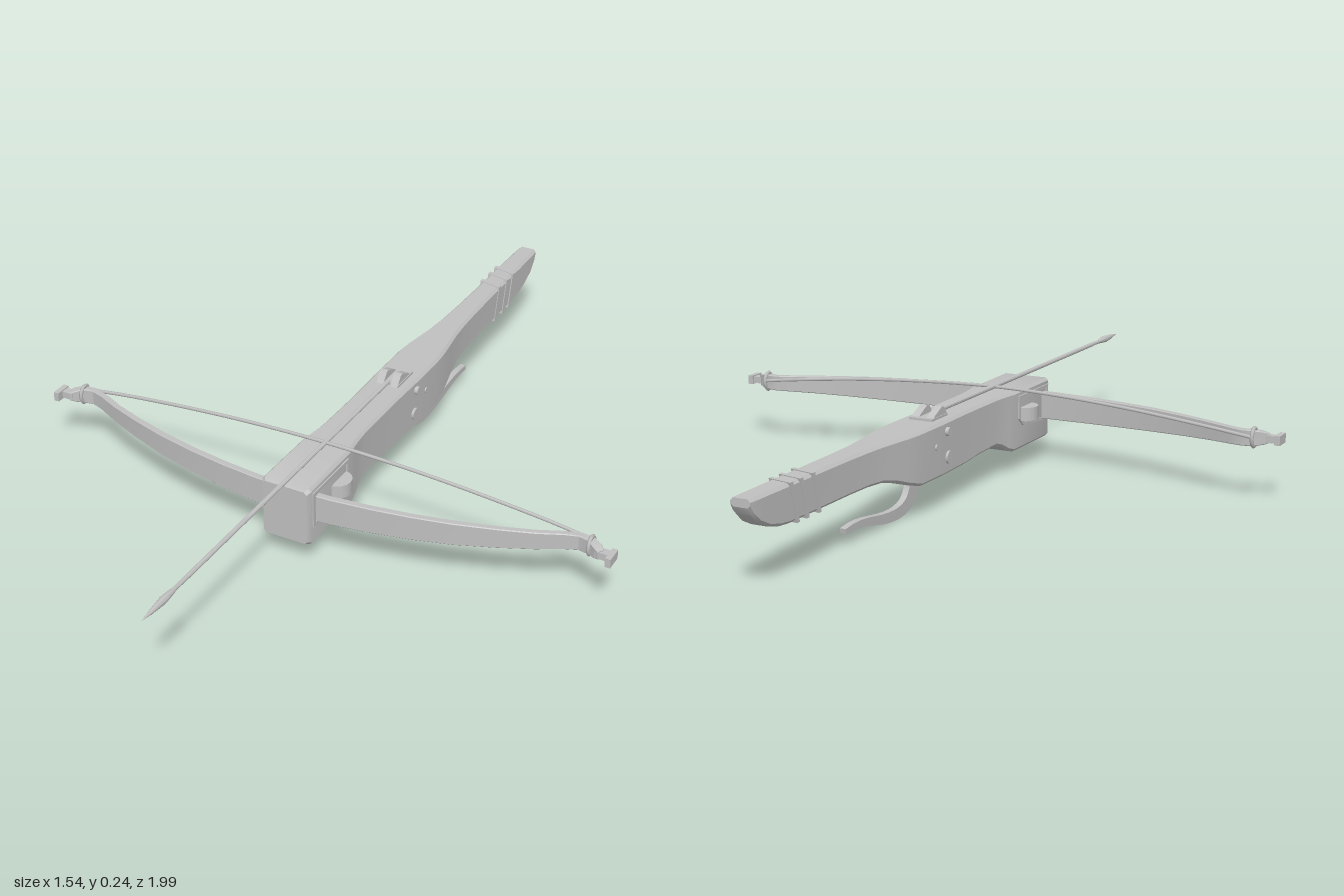
import * as THREE from 'three';
import { toCreasedNormals, mergeVertices } from 'three/addons/utils/BufferGeometryUtils.js';

const grey = new THREE.MeshStandardMaterial({ color: 0xc0c0c0 });
grey.name = 'grey';

// Sweeps a chamfered rectangle through sections [x, z, bottom, top, halfWidth, chamfer]
function loft(sections) {
  const pos = [], idx = [], n = 8;
  sections.forEach(([x, z, y0, y1, w, c], i) => {
    const a = sections[Math.max(0, i - 1)], b = sections[Math.min(sections.length - 1, i + 1)];
    const t = new THREE.Vector2(b[0] - a[0], b[1] - a[1]);
    if (t.length() < 1e-6) t.set(0, 1);
    t.normalize();
    const ring = [[w, y0 + c], [w, y1 - c], [w - c, y1], [c - w, y1], [-w, y1 - c], [-w, y0 + c], [c - w, y0], [w - c, y0]];
    for (const [u, y] of ring) pos.push(x + t.y * u, y, z - t.x * u);
  });
  for (let r = 0; r < sections.length - 1; r++) {
    for (let i = 0; i < n; i++) {
      const a = r * n + i, b = r * n + (i + 1) % n;
      idx.push(a, b, a + n, b, b + n, a + n);
    }
  }
  const e = (sections.length - 1) * n;
  for (let i = 1; i < n - 1; i++) idx.push(0, i + 1, i, e, e + i, e + i + 1);
  const g = new THREE.BufferGeometry();
  g.setAttribute('position', new THREE.Float32BufferAttribute(pos, 3));
  g.setIndex(idx);
  return toCreasedNormals(g, 0.5);
}

// Extrudes a side outline given as [z, y], centred on x
function sidePlate(shape, width) {
  const g = new THREE.ExtrudeGeometry(shape, { depth: width, bevelEnabled: false, curveSegments: 8 });
  g.translate(0, 0, -width / 2);
  g.rotateY(Math.PI / 2);
  return toCreasedNormals(g, 0.6);
}

export function createModel() {
  const model = new THREE.Group();
  model.name = 'crossbow';
  const add = (name, geometry, x = 0, y = 0, z = 0) => {
    const m = new THREE.Mesh(geometry, grey);
    m.name = name;
    m.position.set(x, y, z);
    model.add(m);
    return m;
  };

  // Stock: [z, bottom, half width], flat along the top
  const stock = [
    [-1.0, 0.195, 0.025], [-0.99, 0.178, 0.026], [-0.965, 0.155, 0.027], [-0.93, 0.138, 0.027], [-0.89, 0.128, 0.028],
    [-0.85, 0.124, 0.028], [-0.6, 0.125, 0.031], [-0.52, 0.125, 0.034], [-0.46, 0.122, 0.039], [-0.41, 0.11, 0.046],
    [-0.36, 0.093, 0.053], [-0.31, 0.08, 0.057], [-0.2, 0.079, 0.057], [-0.08, 0.08, 0.054], [0.0, 0.086, 0.054],
    [0.09, 0.089, 0.055], [0.12, 0.08, 0.057], [0.15, 0.064, 0.061], [0.175, 0.056, 0.065], [0.375, 0.056, 0.066], [0.387, 0.062, 0.06]
  ];
  add('stock', loft(stock.map(([z, y, w], i) => [0, z, y, i === 20 ? 0.21 : 0.215, w, 0.007])));

  // Slanted wrapping bands on the butt
  for (const z of [-0.74, -0.79, -0.83]) {
    const band = new THREE.BoxGeometry(0.063, 0.096, 0.012);
    const p = band.attributes.position;
    for (let i = 0; i < p.count; i++) p.setZ(i, p.getZ(i) - p.getY(i) * 0.25 + p.getX(i) * 0.2);
    band.computeVertexNormals();
    add('wrapBand', band, 0, 0.169, z);
  }

  // Bow limbs: half profile [x, z, bottom, top, half thickness], mirrored
  const half = [
    [0.1, 0.343, 0.112, 0.184, 0.009], [0.2, 0.332, 0.115, 0.184, 0.009], [0.3, 0.316, 0.119, 0.184, 0.009],
    [0.4, 0.294, 0.124, 0.184, 0.009], [0.5, 0.264, 0.13, 0.183, 0.008], [0.58, 0.235, 0.135, 0.182, 0.008],
    [0.64, 0.208, 0.139, 0.182, 0.008], [0.675, 0.196, 0.141, 0.182, 0.009], [0.705, 0.2, 0.142, 0.182, 0.011],
    [0.725, 0.213, 0.146, 0.178, 0.012], [0.738, 0.222, 0.15, 0.172, 0.009]
  ];
  const limb = half.map(s => [...s, 0.002]);
  add('bow', loft([...limb.map(([x, ...r]) => [-x, ...r]).reverse(), [0, 0.347, 0.11, 0.184, 0.009, 0.002], ...limb]));

  for (const s of [-1, 1]) {
    // Tip hooks and string loops
    add('bowTip', new THREE.BoxGeometry(0.04, 0.018, 0.022), s * 0.745, 0.16, 0.216);
    add('tipHook', new THREE.BoxGeometry(0.014, 0.024, 0.045), s * 0.764, 0.16, 0.222);
    const loop = new THREE.TorusGeometry(0.018, 0.005, 6, 16);
    loop.rotateY(Math.PI / 2);
    loop.scale(1, 1.25, 1);
    add('stringLoop', loop, s * 0.705, 0.163, 0.2);

    // Rounded wedge holding the bow against the stock
    add('bowWedge', new THREE.CylinderGeometry(0.038, 0.038, 0.035, 16), s * 0.06, 0.15, 0.24);

    // Raised rim around the bow opening
    const rim = new THREE.Shape([[-0.37, 0.105], [-0.22, 0.118], [-0.195, 0.14], [-0.195, 0.2], [-0.37, 0.2]].map(p => new THREE.Vector2(...p)));
    rim.holes.push(new THREE.Path([[-0.36, 0.113], [-0.36, 0.192], [-0.203, 0.192], [-0.203, 0.145], [-0.225, 0.126]].map(p => new THREE.Vector2(...p))));
    add('bowOpeningRim', sidePlate(rim, 0.004), s * 0.067);
  }

  // Bowstring
  const ends = [[0.705, 0.166, 0.183], [0.6, 0.18, 0.181], [0.4, 0.201, 0.183], [0.2, 0.215, 0.185]];
  const path = new THREE.CatmullRomCurve3([
    ...ends.map(([x, y, z]) => new THREE.Vector3(-x, y, z)),
    new THREE.Vector3(0, 0.221, 0.187),
    ...ends.slice().reverse().map(p => new THREE.Vector3(...p))
  ]);
  add('string', new THREE.TubeGeometry(path, 48, 0.0045, 6));

  // Bolt: tail, shaft and pointed head
  const bolt = new THREE.LatheGeometry(
    [[0, -0.14], [0.006, -0.14], [0.006, 0.8], [0.005, 0.86], [0.007, 0.87], [0.01, 0.905], [0.006, 0.95], [0, 0.99]].map(p => new THREE.Vector2(...p)), 10);
  bolt.rotateX(Math.PI / 2);
  add('bolt', toCreasedNormals(mergeVertices(bolt), 0.6), 0, 0.222, 0);

  // Nut: two prongs on a low base
  add('nutBase', new THREE.BoxGeometry(0.064, 0.014, 0.08), 0, 0.214, -0.175);
  const prong = new THREE.Shape([[0.13, 0.215], [0.21, 0.215], [0.195, 0.226], [0.16, 0.242], [0.15, 0.24]].map(p => new THREE.Vector2(...p)));
  for (const x of [-0.02, 0.02]) add('nutProng', sidePlate(prong, 0.02), x);

  // Cross pins
  for (const [y, z, r, w] of [[0.122, -0.177, 0.016, 0.125], [0.188, -0.185, 0.011, 0.132], [0.16, -0.24, 0.007, 0.122]]) {
    const pin = new THREE.CylinderGeometry(r, r, w, 16);
    pin.rotateZ(Math.PI / 2);
    add('pin', pin, 0, y, z);
  }

  // Curved trigger lever
  const lever = new THREE.Shape();
  lever.moveTo(0.18, 0.095);
  lever.lineTo(0.18, 0.068);
  lever.bezierCurveTo(0.26, 0.065, 0.24, 0.0, 0.345, 0.0);
  lever.bezierCurveTo(0.44, 0.0, 0.48, 0.033, 0.585, 0.028);
  lever.lineTo(0.587, 0.04);
  lever.bezierCurveTo(0.5, 0.055, 0.44, 0.026, 0.36, 0.028);
  lever.bezierCurveTo(0.3, 0.03, 0.285, 0.05, 0.28, 0.095);
  add('trigger', sidePlate(lever, 0.016));

  return model;
}
